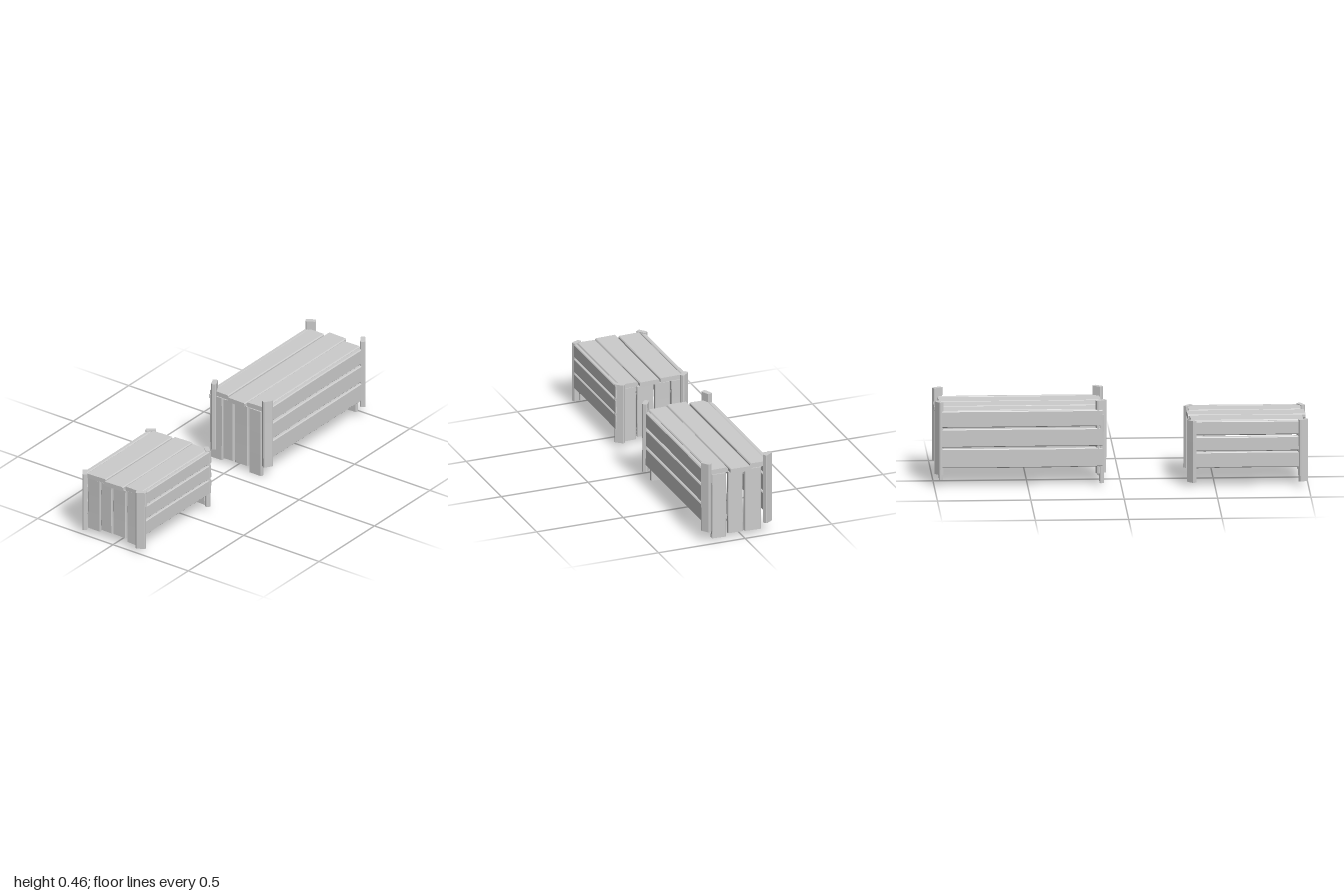
import * as THREE from 'three';

const material = new THREE.MeshStandardMaterial({ color: 0xcccccc, flatShading: true });

// Seeded noise in -1..1, for hand-cut irregularity
let seed = 7;
function noise() {
  seed = (seed * 16807) % 2147483647;
  return (seed / 2147483647) * 2 - 1;
}

// Chamfered board, w by t in section, running along local z and slightly bowed and tapered
function boardGeometry(w, t, length, wobble = 0.003) {
  const c = t * 0.18, a = w / 2, b = t / 2;
  const section = new THREE.Shape([
    [-a + c, -b], [a - c, -b], [a, -b + c], [a, b - c],
    [a - c, b], [-a + c, b], [-a, b - c], [-a, -b + c],
  ].map(([x, y]) => new THREE.Vector2(x, y)));
  const geometry = new THREE.ExtrudeGeometry(section, { depth: length, steps: 3, bevelEnabled: false });
  geometry.translate(0, 0, -length / 2);
  const taper = noise() * 0.02, bow = noise() * wobble, lift = noise() * wobble * 0.5, skew = noise() * 0.05;
  const p = geometry.attributes.position;
  for (let i = 0; i < p.count; i++) {
    const s = p.getZ(i) / (length / 2);
    const x = p.getX(i);
    p.setXYZ(i,
      x * (1 + taper * s) + bow * (1 - s * s),
      p.getY(i) + lift * (1 - s * s),
      p.getZ(i) + (Math.abs(s) > 0.9 ? skew * x : 0));
  }
  geometry.computeVertexNormals();
  return geometry;
}

// Board filling the box between two values on each axis; along is 'x' or 'y'
function board(name, along, [x0, x1], [y0, y1], [z0, z1]) {
  const dx = x1 - x0, dy = y1 - y0, dz = z1 - z0;
  let geometry;
  if (along === 'x') {
    geometry = boardGeometry(Math.max(dy, dz), Math.min(dy, dz), dx);
    if (dy > dz) geometry.rotateZ(Math.PI / 2);
    geometry.rotateY(Math.PI / 2);
  } else {
    geometry = boardGeometry(dz, dx, dy);
    geometry.rotateZ(Math.PI / 2);
    geometry.rotateX(-Math.PI / 2);
  }
  const mesh = new THREE.Mesh(geometry, material);
  mesh.name = name;
  mesh.position.set((x0 + x1) / 2, (y0 + y1) / 2, (z0 + z1) / 2);
  return mesh;
}

// Corner post set diagonally; angle turns its broad face about y
function post([x, z, angle], [y0, y1], w, t) {
  const geometry = boardGeometry(w, t, y1 - y0, 0.002).rotateX(-Math.PI / 2);
  const mesh = new THREE.Mesh(geometry, material);
  mesh.name = 'cornerPost';
  mesh.position.set(x, (y0 + y1) / 2, z);
  mesh.rotation.y = angle;
  return mesh;
}

function crate(name, d) {
  const group = new THREE.Group();
  group.name = name;

  // Lid boards, the middle one overhanging both ends
  d.lid.forEach((z, i) => group.add(board('lidBoard', 'x', i === 1 ? d.lidLong : d.long, d.lidY, z)));

  // Front and back boards
  for (const y of d.rows) {
    group.add(board('frontBoard', 'x', d.long, y, d.frontZ));
    group.add(board('backBoard', 'x', d.long, y, d.backZ));
  }

  // Upright end boards with uneven lower ends: [z0, z1, bottom]
  for (const [z0, z1, bottom] of d.leftEnd) {
    group.add(board('leftEndBoard', 'y', d.leftX, [bottom, d.lidY[0]], [z0, z1]));
  }
  for (const [z0, z1, bottom] of d.rightEnd) {
    group.add(board('rightEndBoard', 'y', d.rightX, [bottom, d.lidY[0]], [z0, z1]));
  }

  for (const p of d.posts) group.add(post(p, d.postY, d.postW, d.postT));
  return group;
}

export function createModel() {
  const model = new THREE.Group();
  model.name = 'woodenCrates';

  model.add(crate('largeCrate', {
    long: [0.1, 0.965], lidLong: [0.08, 0.995], lidY: [0.392, 0.419],
    lid: [[0.083, 0.193], [-0.037, 0.08], [-0.145, -0.045]],
    rows: [[0.108, 0.212], [0.22, 0.318], [0.329, 0.418]],
    frontZ: [0.194, 0.221], backZ: [-0.165, -0.14],
    rightX: [0.95, 0.972], leftX: [0.093, 0.115],
    rightEnd: [[0.098, 0.18, 0.02], [0, 0.086, 0.035], [-0.105, -0.01, 0.032]],
    leftEnd: [[0.098, 0.18, 0.003], [0.003, 0.09, 0.035], [-0.075, -0.008, 0.035], [-0.165, -0.08, 0.017]],
    postY: [0.07, 0.467], postW: 0.056, postT: 0.028,
    posts: [
      [0.108, 0.211, -0.6], [0.968, 0.211, 0.6],
      [0.108, -0.142, 0.45], [0.974, -0.14, -1.0],
    ],
  }));

  model.add(crate('smallCrate', {
    long: [-0.972, -0.372], lidLong: [-0.99, -0.36], lidY: [0.337, 0.363],
    lid: [[0.06, 0.168], [-0.063, 0.055], [-0.196, -0.07]],
    rows: [[0.105, 0.19], [0.199, 0.277], [0.287, 0.362]],
    frontZ: [0.168, 0.19], backZ: [-0.222, -0.198],
    rightX: [-0.386, -0.368], leftX: [-0.972, -0.954],
    rightEnd: [[0.073, 0.157, 0.03], [-0.03, 0.064, 0.045], [-0.125, -0.037, 0.045], [-0.19, -0.132, 0.04]],
    leftEnd: [[0.073, 0.157, 0.03], [-0.02, 0.064, 0.05], [-0.1, -0.028, 0.05], [-0.19, -0.108, 0.035]],
    postY: [0.028, 0.366], postW: 0.055, postT: 0.026,
    posts: [
      [-0.976, 0.168, -1.1], [-0.374, 0.164, 0.85],
      [-0.972, -0.208, 0.65], [-0.376, -0.208, -0.85],
    ],
  }));

  return model;
}
